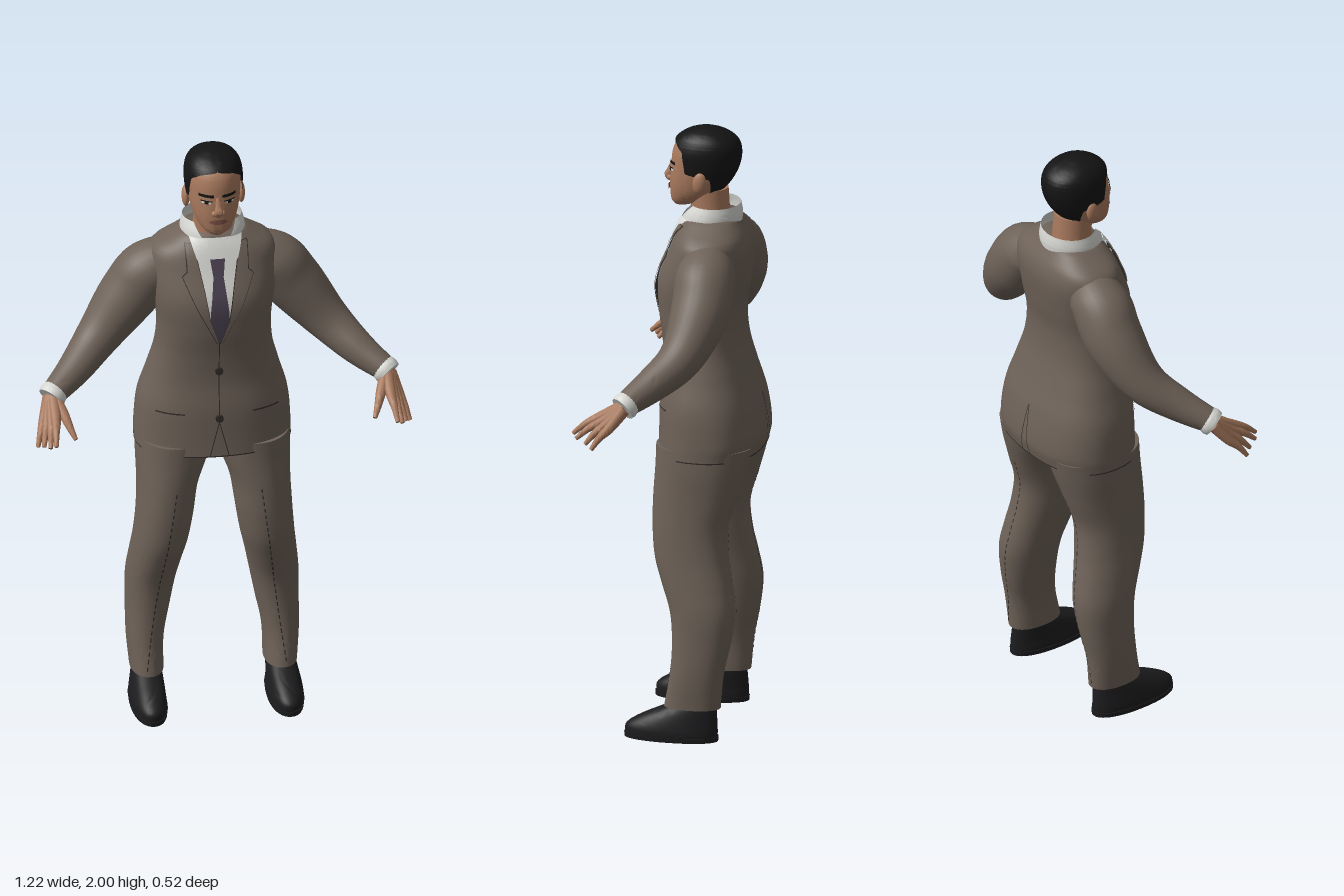
import * as THREE from 'three';
import { mergeVertices, toCreasedNormals } from 'three/addons/utils/BufferGeometryUtils.js';

const material = (name, color) => {
  const m = new THREE.MeshStandardMaterial({ color, side: THREE.DoubleSide });
  m.name = name;
  return m;
};

// Smooth lookup in a profile whose rows are [y, ...values]
function at(P, y) {
  let i = 0;
  while (i < P.length - 2 && y > P[i + 1][0]) i++;
  const a = P[Math.max(i - 1, 0)], b = P[i], c = P[i + 1], d = P[Math.min(i + 2, P.length - 1)];
  const h = c[0] - b[0], t = THREE.MathUtils.clamp((y - b[0]) / h, 0, 1);
  return b.map((_, k) => {
    const m0 = (c[k] - a[k]) / (c[0] - a[0]) * h, m1 = (d[k] - b[k]) / (d[0] - b[0]) * h;
    return (2 * t ** 3 - 3 * t * t + 1) * b[k] + (t ** 3 - 2 * t * t + t) * m0
      + (3 * t * t - 2 * t ** 3) * c[k] + (t ** 3 - t * t) * m1;
  });
}
const linear = (P, y) => {
  let i = 0;
  while (i < P.length - 2 && y > P[i + 1][0]) i++;
  return THREE.MathUtils.mapLinear(y, P[i][0], P[i + 1][0], P[i][1], P[i + 1][1]);
};

// Surface from a grid of points
function grid(nu, nv, fn) {
  const pos = [], idx = [];
  for (let j = 0; j <= nv; j++) for (let i = 0; i <= nu; i++) pos.push(...fn(i / nu, j));
  for (let j = 0; j < nv; j++) for (let i = 0; i < nu; i++) {
    const a = j * (nu + 1) + i, d = a + nu + 1;
    idx.push(a, a + 1, d, a + 1, d + 1, d);
  }
  const g = new THREE.BufferGeometry();
  g.setAttribute('position', new THREE.Float32BufferAttribute(pos, 3));
  g.setIndex(idx);
  return toCreasedNormals(mergeVertices(g, 1e-5), 1);
}

// Upright loft; profile rows are [y, centreX, halfWidth, frontZ, backZ]
function loft(P, n, { rows = 36, seg = 40, off = 0, arc = () => 0, capTop = true } = {}) {
  const y0 = P[0][0], y1 = P[P.length - 1][0];
  return grid(seg, rows + (capTop ? 2 : 1), (u, j) => {
    const y = THREE.MathUtils.lerp(y0, y1, THREE.MathUtils.clamp((j - 1) / rows, 0, 1));
    const [, cx, w, f, b] = at(P, y), k = j === 0 || j === rows + 2 ? 0 : 1;
    const a = arc(y), t = a + u * (Math.PI * 2 - 2 * a), s = Math.sin(t), c = Math.cos(t);
    const bend = v => k * Math.sign(v) * Math.abs(v) ** (2 / n);
    return [cx + (w + off) * bend(s), y, (f + b) / 2 + ((f - b) / 2 + off) * bend(c)];
  });
}

// Thin sheet lying on the front (side 1) or back (side -1) of a loft
function patch(P, n, y0, y1, left, right, off, side = 1) {
  return grid(8, 20, (u, j) => {
    const y = THREE.MathUtils.lerp(y0, y1, j / 20), x = THREE.MathUtils.lerp(left(y), right(y), u);
    const [, cx, w, f, b] = at(P, y);
    const r = Math.max(0, 1 - Math.abs((x - cx) / w) ** n) ** (1 / n);
    return [x, y, (f + b) / 2 + side * ((f - b) / 2 * r + off)];
  });
}

// Round limb along points [x, y, z, radius]
function limb(pts, rows = 24, seg = 20) {
  const curve = new THREE.CatmullRomCurve3(pts.map(p => new THREE.Vector3(p[0], p[1], p[2])));
  const fr = curve.computeFrenetFrames(rows), R = pts.map((p, i) => [i, p[3]]);
  return grid(seg, rows + 2, (u, j) => {
    const i = THREE.MathUtils.clamp(j - 1, 0, rows), t = i / rows, a = u * Math.PI * 2;
    const r = j === 0 || j === rows + 2 ? 0 : at(R, t * (pts.length - 1))[1];
    return curve.getPoint(t).addScaledVector(fr.normals[i], r * Math.cos(a))
      .addScaledVector(fr.binormals[i], r * Math.sin(a)).toArray();
  });
}

function mirrored(geo) {
  const g = (geo.index ? geo.toNonIndexed() : geo.clone()).scale(-1, 1, 1), idx = [];
  for (let i = 0; i < g.attributes.position.count; i += 3) idx.push(i, i + 2, i + 1);
  return g.setIndex(idx);
}

export function createModel() {
  const root = new THREE.Group();
  root.name = 'suitedMan';
  const suit = material('suit brown', 0x6e6258), seam = material('seam dark', 0x332d29);
  const skin = material('skin', 0xa97a5e), hair = material('hair black', 0x141415);
  const shoe = material('shoe black', 0x1d1d1f), white = material('shirt white', 0xd6d6d2);
  const purple = material('tie purple', 0x4a4150), lip = material('lips', 0x86564a);
  const add = (name, geo, mat, pair = false) => {
    (pair ? [geo, mirrored(geo)] : [geo]).forEach((g, i) => {
      const m = new THREE.Mesh(g, mat);
      m.name = pair ? (i ? 'right' : 'left') + name[0].toUpperCase() + name.slice(1) : name;
      root.add(m);
    });
  };

  // Jacket body
  const T = [[0.94, 0, 0.253, 0.085, -0.25], [0.99, 0, 0.253, 0.083, -0.26], [1.1, 0, 0.243, 0.08, -0.245],
    [1.2, 0, 0.215, 0.07, -0.215], [1.3, 0, 0.19, 0.075, -0.19], [1.4, 0, 0.185, 0.088, -0.185],
    [1.5, 0, 0.198, 0.088, -0.2], [1.6, 0, 0.207, 0.05, -0.21], [1.65, 0, 0.195, 0.03, -0.2],
    [1.685, 0, 0.14, 0.015, -0.18], [1.71, 0, 0.1, 0, -0.165]];
  const TN = 2.4;
  add('jacketBody', loft(T, TN, { rows: 60, seg: 56 }), suit);
  const onJacket = (name, y0, y1, l, r, off, mat, pair, side) =>
    add(name, patch(T, TN, y0, y1, l, r, off, side), mat, pair);

  // Shirt front, tie and lapels
  const V = [[1.36, 0.002], [1.45, 0.032], [1.55, 0.048], [1.69, 0.075]];
  const L = [[1.36, 0.006], [1.5, 0.075], [1.6, 0.118], [1.605, 0.098], [1.69, 0.1]];
  const vEdge = y => linear(V, y), lEdge = y => linear(L, y);
  onJacket('shirtFront', 1.37, 1.705, y => -vEdge(y), vEdge, 0.004, white);
  const tieW = y => Math.min(linear([[1.37, 0.026], [1.47, 0.031], [1.595, 0.016], [1.605, 0.019], [1.645, 0.024]], y), vEdge(y));
  onJacket('tie', 1.37, 1.645, y => -tieW(y), tieW, 0.009, purple);
  onJacket('lapelEdge', 1.36, 1.69, y => vEdge(y) - 0.002, y => lEdge(y) + 0.003, 0.008, seam, true);
  onJacket('lapel', 1.362, 1.69, vEdge, lEdge, 0.012, suit, true);
  onJacket('collarPoint', 1.6, 1.708, y => linear([[1.6, 0.036], [1.708, 0.03]], y),
    y => linear([[1.6, 0.038], [1.65, 0.068], [1.708, 0.086]], y), 0.015, white, true);

  // Jacket closing, pockets, hem and vent
  onJacket('frontClosing', 1.06, 1.36, () => -0.0015, () => 0.0015, 0.003, seam);
  onJacket('frontCutaway', 0.941, 1.06, y => (1.06 - y) * 0.25, y => (1.06 - y) * 0.25 + 0.003, 0.003, seam, true);
  onJacket('pocketLine', 1.092, 1.097, () => 0.11, () => 0.2, 0.003, seam, true);
  onJacket('backVent', 0.941, 1.12, y => (1.12 - y) * 0.1, y => (1.12 - y) * 0.1 + 0.003, 0.003, seam, true, -1);
  const hemRow = T[0].slice(1);
  add('jacketHem', loft([[0.938, ...hemRow], [0.942, ...hemRow]], TN, { rows: 1, off: 0.001, capTop: false }), seam);
  for (const y of [1.25, 1.08]) {
    const b = new THREE.CylinderGeometry(0.013, 0.013, 0.009, 16).rotateX(Math.PI / 2);
    add('jacketButton', b.translate(0, y, at(T, y)[3] + 0.005), seam);
  }

  // Sleeves and cuffs
  add('sleeve', limb([[0.11, 1.58, -0.1, 0.07], [0.185, 1.565, -0.1, 0.095], [0.27, 1.46, -0.1, 0.096],
    [0.375, 1.335, -0.06, 0.072], [0.46, 1.265, 0.015, 0.056], [0.536, 1.22, 0.08, 0.042]], 36, 28), suit, true);
  add('cuff', limb([[0.525, 1.226, 0.07, 0.04], [0.54, 1.216, 0.083, 0.046], [0.55, 1.207, 0.092, 0.043]], 6), white, true);

  // Hands
  for (let i = 0; i < 4; i++) {
    const t = i / 3, k = [0.545 + 0.035 * t, 1.168 - 0.026 * t, 0.175 - 0.042 * t];
    const tip = [0.555 + 0.05 * t, 1.115 - 0.036 * t, 0.253 - 0.07 * t + (i === 1 ? 0.01 : 0)];
    const mid = k.map((v, a) => (v + tip[a]) / 2);
    mid[1] += 0.006;
    add('finger' + (i + 1), limb([[0.542 + 0.012 * t, 1.216 - 0.01 * t, 0.086, 0.022], [...k, 0.0165],
      [...mid, 0.0115], [...tip, 0.007]], 16, 12), skin, true);
  }
  add('thumb', limb([[0.54, 1.212, 0.095, 0.02], [0.516, 1.175, 0.15, 0.017], [0.5, 1.142, 0.187, 0.012],
    [0.486, 1.115, 0.215, 0.007]], 16, 12), skin, true);

  // Trouser legs with pressed creases
  const G = [[0.11, 0.217, 0.054, 0.03, -0.155], [0.22, 0.22, 0.06, 0.01, -0.165], [0.33, 0.21, 0.071, 0.005, -0.187],
    [0.43, 0.2, 0.08, 0.015, -0.198], [0.52, 0.186, 0.084, 0.045, -0.185], [0.6, 0.172, 0.088, 0.07, -0.17],
    [0.7, 0.16, 0.092, 0.08, -0.165], [0.8, 0.15, 0.098, 0.08, -0.195], [0.9, 0.133, 0.117, 0.076, -0.225],
    [0.97, 0.124, 0.125, 0.075, -0.24]];
  add('trouserLeg', loft(G, 2.2, { rows: 50 }), suit, true);
  for (const side of [1, -1]) for (let i = 0; i < 28; i++) {
    const y = 0.13 + i * 0.0245, x = v => 0.226 - (v - 0.13) * 0.13;
    add('creaseStitch', patch(G, 2.2, y, y + 0.015, v => x(v) - 0.002, v => x(v) + 0.002, 0.003, side), seam, true);
  }

  // Ankles and shoes
  add('ankle', loft([[0.07, 0.217, 0.04, 0, -0.12], [0.14, 0.217, 0.042, 0, -0.13]], 2, { rows: 4 }), skin, true);
  add('shoe', loft([[0, 0.222, 0.052, 0.15, -0.142], [0.02, 0.222, 0.058, 0.158, -0.146], [0.045, 0.222, 0.056, 0.152, -0.146],
    [0.075, 0.22, 0.052, 0.105, -0.144], [0.1, 0.218, 0.048, 0.05, -0.142], [0.118, 0.217, 0.044, 0.01, -0.138]],
  2.2, { rows: 16 }), shoe, true);
  add('sole', loft([[0, 0.222, 0.058, 0.16, -0.148], [0.016, 0.222, 0.06, 0.161, -0.149]], 2.2, { rows: 2 }), shoe, true);

  // Neck and standing shirt collar
  add('neck', loft([[1.66, 0, 0.07, -0.005, -0.14], [1.72, 0, 0.064, -0.01, -0.135], [1.8, 0, 0.062, 0, -0.13]], 2), skin);
  add('collar', loft([[1.69, 0, 0.106, 0.025, -0.175], [1.72, 0, 0.104, 0.015, -0.176], [1.75, 0, 0.096, -0.005, -0.17]], 2,
    { rows: 8, arc: y => 0.3 + (y - 1.69) * 8, capTop: false }), white);

  // Head
  const H = [[1.737, 0, 0.022, 0.045, 0.0], [1.75, 0, 0.044, 0.055, -0.045], [1.78, 0, 0.066, 0.059, -0.1],
    [1.82, 0, 0.079, 0.06, -0.135], [1.87, 0, 0.086, 0.056, -0.16], [1.92, 0, 0.087, 0.05, -0.167],
    [1.955, 0, 0.077, 0.034, -0.155], [1.98, 0, 0.053, 0.0, -0.12], [1.994, 0, 0.018, -0.04, -0.075]];
  add('head', loft(H, 2.1, { rows: 48, seg: 48 }), skin);
  const hairline = [[1.73, 2.4], [1.78, 2.3], [1.84, 1.95], [1.855, 1.2], [1.925, 1.0], [1.947, 0.6], [1.957, 0], [2, 0]];
  const scalp = [[1.77, ...at(H, 1.77).slice(1)], ...H.slice(2)];
  add('hair', loft(scalp, 2.1, { rows: 60, seg: 48, off: 0.007, arc: y => linear(hairline, y) }).translate(0, 0.006, 0), hair);
  add('ear', new THREE.SphereGeometry(1, 16, 12).scale(0.013, 0.036, 0.022).rotateX(-0.15).translate(0.09, 1.835, -0.055), skin, true);

  // Face
  const onFace = (name, y0, y1, l, r, off, mat, pair) => add(name, patch(H, 2.1, y0, y1, l, r, off), mat, pair);
  onFace('eyebrow', 1.88, 1.89, () => 0.014, () => 0.06, 0.004, hair, true);
  onFace('eyeWhite', 1.858, 1.867, () => 0.023, () => 0.052, 0.003, white, true);
  onFace('iris', 1.857, 1.868, () => 0.031, () => 0.044, 0.005, hair, true);
  onFace('eyelid', 1.866, 1.87, () => 0.02, () => 0.055, 0.006, hair, true);
  const mouth = y => 0.03 * Math.sqrt(Math.max(0.02, 1 - ((y - 1.793) / 0.009) ** 2));
  onFace('lips', 1.784, 1.802, y => -mouth(y), mouth, 0.005, lip);
  add('nose', limb([[0, 1.878, 0.05, 0.008], [0, 1.85, 0.06, 0.01], [0, 1.828, 0.066, 0.0145], [0, 1.817, 0.058, 0.01]], 14, 14), skin);
  add('nostril', new THREE.SphereGeometry(0.0095, 12, 10).translate(0.013, 1.824, 0.06), skin, true);

  return root;
}
